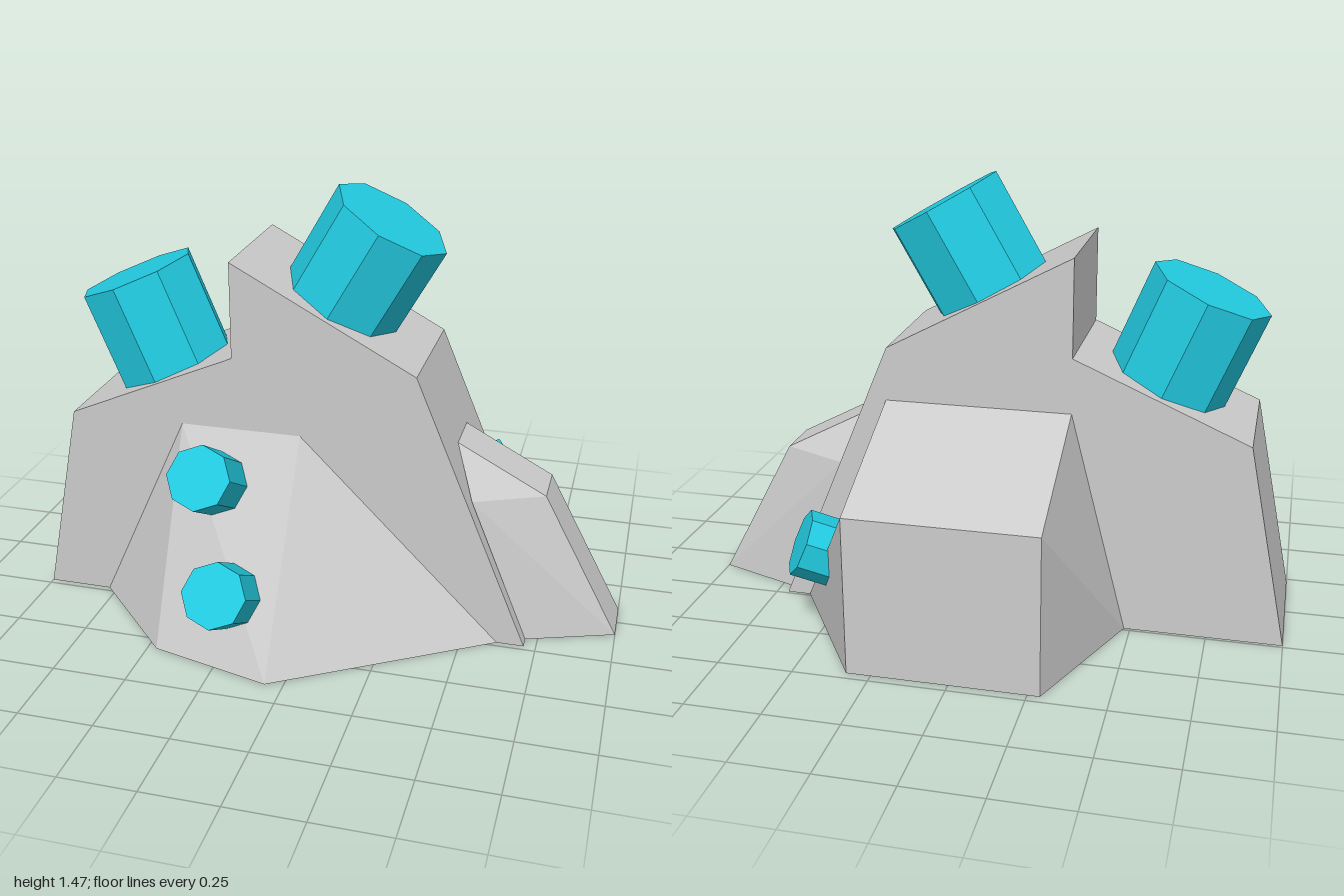
import * as THREE from 'three';
import { ConvexGeometry } from 'three/addons/geometries/ConvexGeometry.js';

export function createModel() {
  const model = new THREE.Group();
  const grey = new THREE.MeshStandardMaterial({ color: 0xcccccc, flatShading: true });
  const teal = new THREE.MeshStandardMaterial({ color: 0x22cce2, flatShading: true });

  const add = (name, geometry, material) => {
    const mesh = new THREE.Mesh(geometry, material);
    mesh.name = name;
    model.add(mesh);
    return mesh;
  };
  const hull = (name, points) =>
    add(name, new ConvexGeometry(points.map((p) => new THREE.Vector3(...p))), grey);

  // Central slab with a stepped peak
  const profile = new THREE.Shape(
    [[-1, 0], [0.71, 0], [0.325, 0.925], [-0.29, 1.255], [-0.29, 0.93], [-0.865, 0.68]]
      .map(([x, y]) => new THREE.Vector2(x, y)));
  const slab = new THREE.ExtrudeGeometry(profile, { depth: 0.47, bevelEnabled: false });
  slab.translate(0, 0, -0.24);
  add('centralSlab', slab, grey);

  // Sloping front buttress
  hull('frontButtress', [
    [-0.47, 0.68, 0.23], [-0.06, 0.68, 0.23],
    [-0.78, 0, 0.23], [-0.47, 0, 0.555], [-0.06, 0, 0.66], [0.62, 0, 0.23],
  ]);

  // Back block with flared sides
  hull('backBlock', [
    [-0.29, 0.745, -0.24], [0.33, 0.745, -0.24],
    [-0.29, 0.53, -0.72], [0.33, 0.53, -0.72],
    [-0.29, 0, -0.72], [0.33, 0, -0.72],
    [-0.48, 0, -0.24], [0.63, 0, -0.24],
  ]);

  // Bevelled spur on the left side
  const spur = [];
  for (const s of [-1, 1]) {
    const ridge = s * 0.085 - 0.005, wide = s * 0.19 - 0.005;
    spur.push([0.44, 0.65, ridge], [0.74, 0.49, ridge], [1, 0, ridge],
      [0.51, 0.49, wide], [0.71, 0, wide]);
  }
  hull('sideSpur', spur);

  // Octagonal crystals: tip centre, outward axis, radius, length sunk into the rock
  const up = new THREE.Vector3(0, 1, 0);
  const crystal = (name, tip, axis, radius, length) => {
    const geometry = new THREE.CylinderGeometry(radius, radius, length, 8);
    geometry.translate(0, -length / 2, 0);
    const mesh = add(name, geometry, teal);
    mesh.position.set(...tip);
    mesh.quaternion.setFromUnitVectors(up, new THREE.Vector3(...axis).normalize());
  };
  crystal('peakCrystal', [0.19, 1.37, 0], [0.5, 0.87, 0], 0.205, 0.42);
  crystal('shoulderCrystal', [-0.702, 1.122, 0], [-0.385, 0.923, 0], 0.205, 0.42);
  crystal('upperFrontCrystal', [-0.32, 0.62, 0.495], [0, 0.5, 0.866], 0.107, 0.32);
  crystal('lowerFrontCrystal', [-0.22, 0.303, 0.665], [0, 0.5, 0.866], 0.107, 0.32);
  crystal('backSideCrystal', [0.555, 0.32, -0.485], [0.84, 0.4, -0.36], 0.11, 0.32);

  return model;
}
